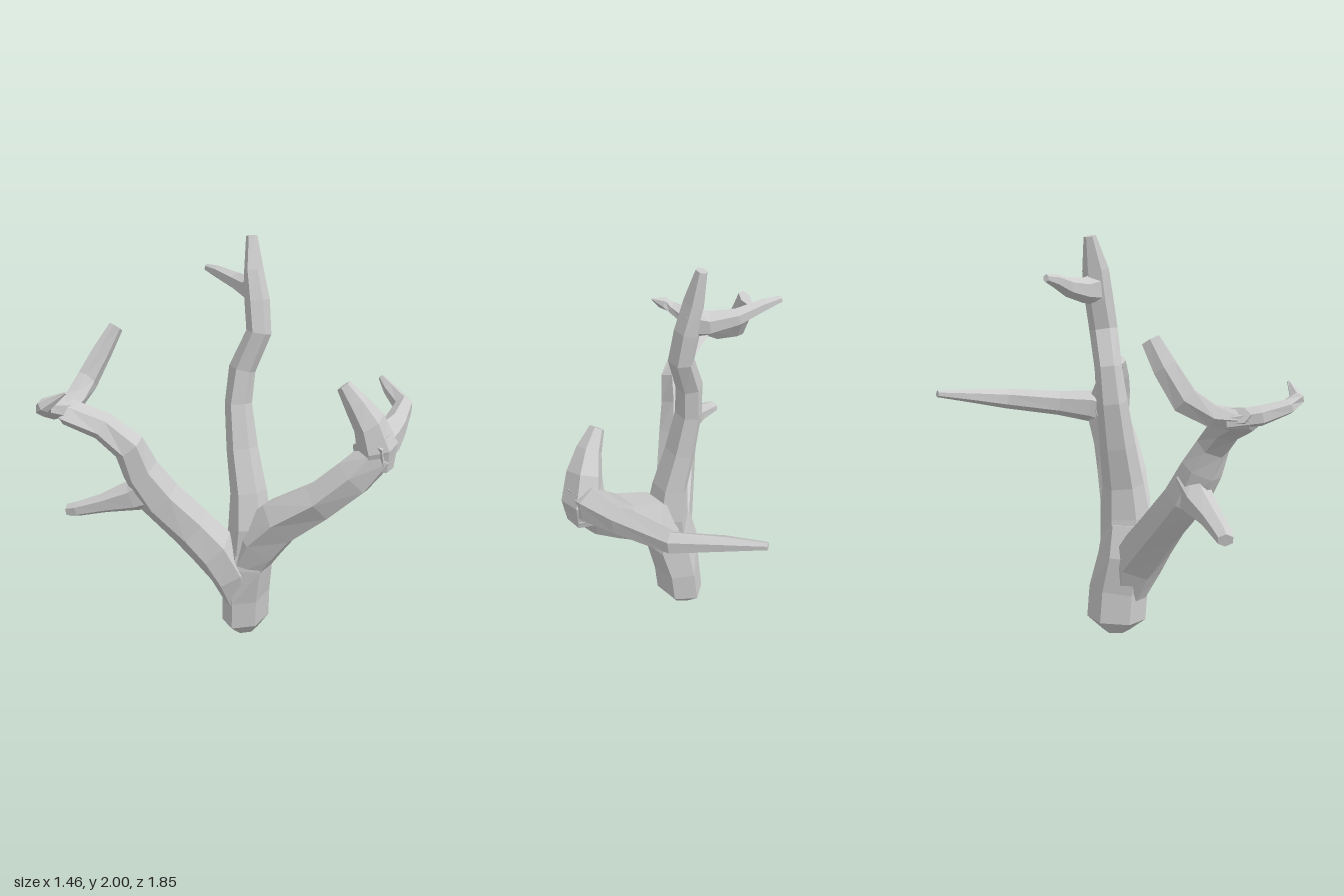
import * as THREE from 'three';

const material = new THREE.MeshStandardMaterial({ color: 0xcccccc, flatShading: true });
const X = new THREE.Vector3(1, 0, 0);
const Y = new THREE.Vector3(0, 1, 0);
const Z = new THREE.Vector3(0, 0, 1);

// Faceted limb through stations [x, y, z, radius along ref, radius across it]
function limb(name, ref, stations, sides = 6) {
  const centers = stations.map(s => new THREE.Vector3(s[0], s[1], s[2]));
  const last = centers.length - 1;
  const pos = [];
  const index = [];
  centers.forEach((c, i) => {
    // ring lies square to the average of the neighbouring segments
    const t = new THREE.Vector3();
    if (i > 0) t.add(c.clone().sub(centers[i - 1]).normalize());
    if (i < last) t.add(centers[i + 1].clone().sub(c).normalize());
    t.normalize();
    const u = ref.clone().addScaledVector(t, -ref.dot(t)).normalize();
    const v = t.clone().cross(u);
    const [, , , ru, rv] = stations[i];
    for (let k = 0; k < sides; k++) {
      const a = (k / sides) * Math.PI * 2;
      const p = c.clone().addScaledVector(u, Math.cos(a) * ru).addScaledVector(v, Math.sin(a) * rv * 1.1);
      pos.push(p.x, p.y, p.z);
    }
  });
  for (let i = 0; i < last; i++) {
    for (let k = 0; k < sides; k++) {
      const a = i * sides + k;
      const b = i * sides + (k + 1) % sides;
      index.push(a, b, b + sides, a, b + sides, a + sides);
    }
  }
  // end caps
  for (let k = 1; k < sides - 1; k++) {
    index.push(0, k + 1, k);
    index.push(last * sides, last * sides + k, last * sides + k + 1);
  }
  const geo = new THREE.BufferGeometry();
  geo.setAttribute('position', new THREE.Float32BufferAttribute(pos, 3));
  geo.setIndex(index);
  const flat = geo.toNonIndexed();
  flat.computeVertexNormals();
  const mesh = new THREE.Mesh(flat, material);
  mesh.name = name;
  return mesh;
}

export function createModel() {
  const group = new THREE.Group();
  group.name = 'antler';

  group.add(
    // Thick root with a blunt, bevelled foot, swelling toward the fork
    limb('root', Z, [
      [0, 0.005, 0.07, 0.07, 0.05],
      [-0.005, 0.07, 0.07, 0.15, 0.1],
      [0.005, 0.22, 0.08, 0.15, 0.1],
      [0.015, 0.4, 0.11, 0.135, 0.125],
      [0.04, 0.56, 0.11, 0.11, 0.11],
    ]),

    // Tall central beam and its side spike
    limb('centralBeam', Z, [
      [0.02, 0.38, 0.11, 0.12, 0.09],
      [0.045, 0.6, 0.11, 0.125, 0.095],
      [0.03, 0.77, 0.1, 0.105, 0.078],
      [-0.018, 0.98, 0.075, 0.09, 0.067],
      [-0.052, 1.2, 0.05, 0.077, 0.058],
      [-0.04, 1.37, 0.03, 0.067, 0.06],
      [0.035, 1.55, 0, 0.07, 0.054],
      [0.015, 1.7, -0.02, 0.07, 0.053],
      [-0.01, 1.84, -0.035, 0.065, 0.038],
      [-0.035, 2, -0.06, 0.03, 0.024],
    ]),
    limb('centralSpike', Y, [
      [0.01, 1.75, -0.02, 0.085, 0.05],
      [-0.06, 1.745, -0.09, 0.06, 0.05],
      [-0.17, 1.765, -0.155, 0.045, 0.038],
      [-0.3, 1.8, -0.195, 0.032, 0.026],
      [-0.38, 1.815, -0.223, 0.018, 0.013],
    ]),

    // Left beam, forking into an upright tine and a long rear tine
    limb('leftBeam', Z, [
      [0, 0.36, 0.11, 0.12, 0.1],
      [0.09, 0.53, 0.11, 0.13, 0.13],
      [0.205, 0.645, 0.1, 0.13, 0.115],
      [0.4, 0.77, 0.065, 0.13, 0.095],
      [0.55, 0.9, 0.02, 0.12, 0.095],
      [0.645, 1.01, -0.03, 0.11, 0.085],
      [0.65, 1.12, -0.03, 0.08, 0.06],
    ]),
    limb('leftUprightTine', Z, [
      [0.64, 0.95, -0.03, 0.09, 0.08],
      [0.65, 1.05, -0.03, 0.12, 0.085],
      [0.615, 1.17, 0, 0.1, 0.068],
      [0.56, 1.26, 0.03, 0.065, 0.053],
      [0.5, 1.345, 0.045, 0.035, 0.033],
    ]),
    limb('leftRearTine', Y, [
      [0.63, 1.02, 0.04, 0.09, 0.08],
      [0.65, 1.065, -0.12, 0.09, 0.078],
      [0.635, 1.08, -0.3, 0.068, 0.058],
      [0.58, 1.11, -0.59, 0.055, 0.044],
      [0.44, 1.145, -0.77, 0.035, 0.035],
      [0.335, 1.17, -0.92, 0.018, 0.017],
    ]),

    // Right beam, leaning forward and kinking upward
    limb('rightBeam', Z, [
      [-0.01, 0.2, 0.13, 0.09, 0.06],
      [-0.035, 0.36, 0.17, 0.13, 0.09],
      [-0.1, 0.5, 0.24, 0.125, 0.1],
      [-0.18, 0.62, 0.31, 0.115, 0.095],
      [-0.29, 0.79, 0.42, 0.11, 0.095],
      [-0.345, 0.94, 0.49, 0.1, 0.075],
      [-0.37, 1.06, 0.54, 0.08, 0.07],
      [-0.48, 1.16, 0.59, 0.085, 0.055],
      [-0.61, 1.22, 0.65, 0.1, 0.048],
      [-0.7, 1.26, 0.63, 0.06, 0.035],
    ]),
    limb('rightLowerTine', Y, [
      [-0.3, 0.85, 0.43, 0.12, 0.08],
      [-0.4, 0.795, 0.48, 0.078, 0.07],
      [-0.53, 0.755, 0.54, 0.048, 0.05],
      [-0.65, 0.72, 0.585, 0.036, 0.042],
      [-0.7, 0.71, 0.595, 0.03, 0.035],
    ]),
    limb('rightUprightTine', X, [
      [-0.65, 1.235, 0.68, 0.055, 0.04],
      [-0.68, 1.25, 0.53, 0.05, 0.05],
      [-0.69, 1.32, 0.41, 0.042, 0.062],
      [-0.655, 1.45, 0.325, 0.038, 0.055],
      [-0.615, 1.565, 0.26, 0.026, 0.043],
    ]),
    limb('rightFrontTine', Y, [
      [-0.66, 1.23, 0.58, 0.04, 0.06],
      [-0.645, 1.25, 0.73, 0.045, 0.055],
      [-0.61, 1.285, 0.85, 0.034, 0.035],
      [-0.57, 1.315, 0.89, 0.034, 0.03],
      [-0.475, 1.375, 0.86, 0.006, 0.006],
    ]),
  );
  return group;
}
